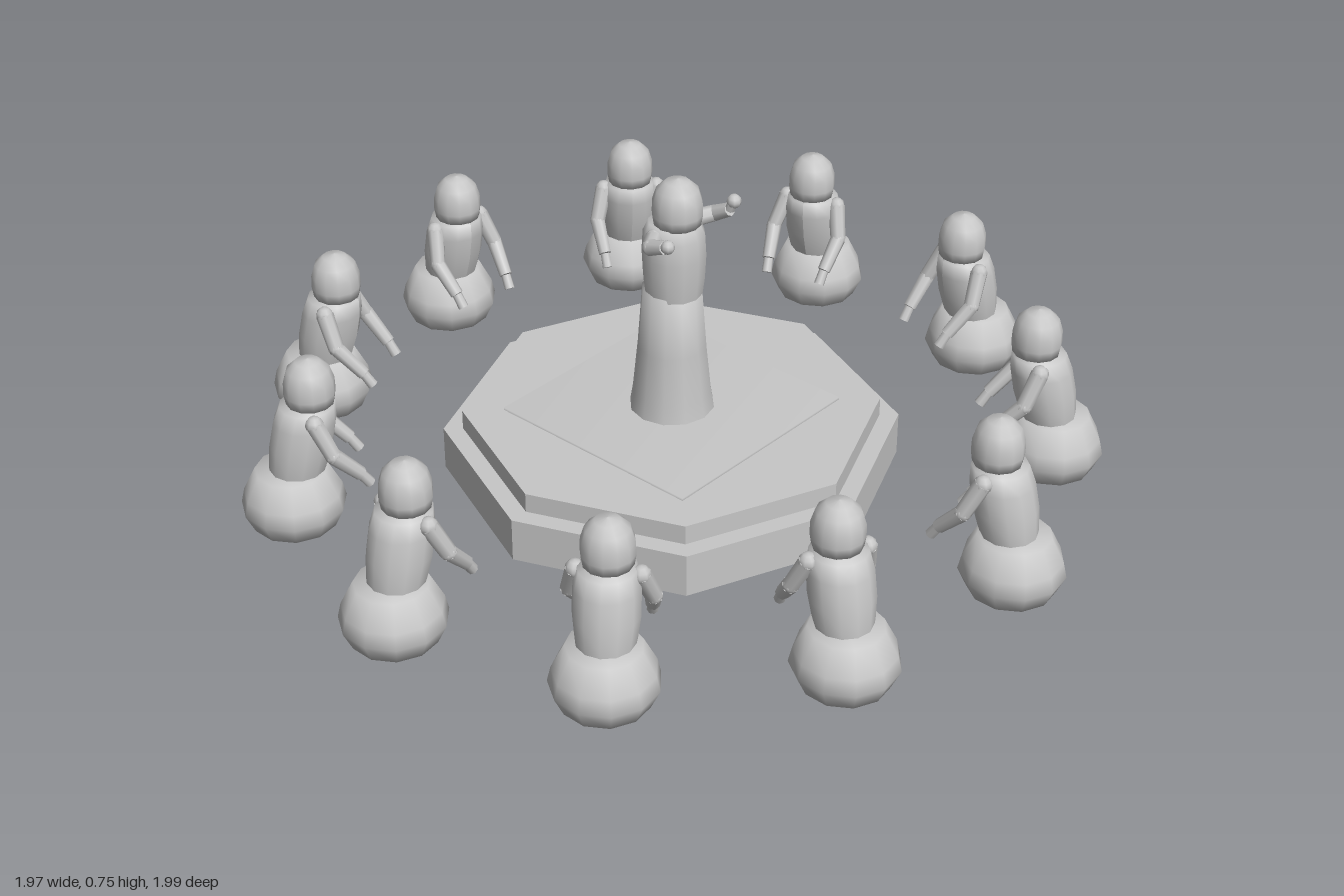
import * as THREE from 'three';
import { toCreasedNormals, mergeVertices } from 'three/addons/utils/BufferGeometryUtils.js';

const stone = new THREE.MeshStandardMaterial({ color: 0xc6c6c6 });
stone.name = 'grey stone';

const CENTRE_X = 0.01;
const SEATED_COUNT = 11;
const RING_RADIUS = 0.885;

function add(parent, name, geometry, x = 0, y = 0, z = 0) {
  const mesh = new THREE.Mesh(geometry, stone);
  mesh.name = name;
  mesh.position.set(x, y, z);
  parent.add(mesh);
  return mesh;
}

// Turned form from [radius, height] pairs, bottom to top
function turned(profile, sides) {
  return new THREE.LatheGeometry(profile.map(([r, y]) => new THREE.Vector2(r, y)), sides);
}

// Capped tapering limb between two points
function limb(parent, name, a, b, ra, rb) {
  const from = new THREE.Vector3(...a), to = new THREE.Vector3(...b);
  const dir = to.clone().sub(from);
  const mesh = add(parent, name, new THREE.CylinderGeometry(rb, ra, dir.length(), 8));
  mesh.position.copy(from).add(to).multiplyScalar(0.5);
  mesh.quaternion.setFromUnitVectors(new THREE.Vector3(0, 1, 0), dir.normalize());
}

// Arm of two sleeve segments, rounded joints and a small hand
function arm(parent, name, shoulder, elbow, wrist, hand) {
  const group = new THREE.Group();
  group.name = name;
  limb(group, 'upperArm', shoulder, elbow, 0.021, 0.019);
  limb(group, 'forearm', elbow, wrist, 0.019, 0.016);
  limb(group, 'hand', wrist, hand, 0.012, 0.013);
  add(group, 'shoulder', new THREE.SphereGeometry(0.021, 8, 6), ...shoulder);
  add(group, 'elbow', new THREE.SphereGeometry(0.019, 8, 6), ...elbow);
  parent.add(group);
}

// Domed head, 0.11 tall, with its neck at the origin
function headGeometry() {
  return turned([[0, 0], [0.054, 0], [0.058, 0.025], [0.057, 0.055], [0.048, 0.084],
    [0.028, 0.103], [0, 0.11]], 12);
}

// Seated figure facing +z, leaning slightly forward
function seatedFigure() {
  const figure = new THREE.Group();
  figure.name = 'seatedFigure';

  add(figure, 'skirt', turned([[0, 0], [0.098, 0], [0.119, 0.045], [0.111, 0.08],
    [0.082, 0.138], [0, 0.142]], 11));

  const torso = turned([[0.06, 0.12], [0.066, 0.15], [0.072, 0.2], [0.071, 0.26],
    [0.063, 0.3], [0, 0.318]], 12);
  const p = torso.attributes.position;
  for (let i = 0; i < p.count; i++) p.setZ(i, p.getZ(i) + 0.015 + (p.getY(i) - 0.14) * 0.2);
  torso.computeVertexNormals();
  add(figure, 'torso', torso);

  add(figure, 'head', headGeometry(), 0, 0.306, 0.055);

  for (const s of [1, -1]) {
    arm(figure, s > 0 ? 'leftArm' : 'rightArm',
      [s * 0.068, 0.285, 0.052], [s * 0.088, 0.21, 0.085],
      [s * 0.076, 0.145, 0.145], [s * 0.072, 0.115, 0.165]);
  }
  return figure;
}

// Standing figure in a long robe with raised arms
function standingFigure() {
  const figure = new THREE.Group();
  figure.name = 'standingFigure';

  add(figure, 'robe', turned([[0.1, 0.15], [0.092, 0.2], [0.08, 0.32], [0.069, 0.47],
    [0, 0.475]], 12));
  add(figure, 'torso', turned([[0.066, 0.46], [0.071, 0.5], [0.074, 0.56], [0.071, 0.61],
    [0.058, 0.64], [0, 0.648]], 12), 0, 0, 0.005);
  add(figure, 'head', headGeometry(), 0, 0.638, 0.015);

  arm(figure, 'leftArm', [0.06, 0.617, 0], [0.112, 0.62, 0.025],
    [0.114, 0.645, 0.07], [0.116, 0.668, 0.08]);
  arm(figure, 'rightArm', [-0.06, 0.617, 0], [-0.1, 0.62, 0.025],
    [-0.103, 0.637, 0.07], [-0.107, 0.647, 0.085]);
  add(figure, 'leftFist', new THREE.SphereGeometry(0.017, 8, 6), 0.117, 0.668, 0.08);
  add(figure, 'rightFist', new THREE.SphereGeometry(0.016, 8, 6), -0.108, 0.645, 0.083);
  return figure;
}

// Eight-sided stepped platform with a square slab softened at its edges
function platform() {
  const group = new THREE.Group();
  group.name = 'platform';
  const step = (r, h) => toCreasedNormals(new THREE.CylinderGeometry(r, r, h, 8), 0.3);
  add(group, 'lowerStep', step(0.53, 0.105), 0, 0.0525, 0);
  add(group, 'upperStep', step(0.485, 0.05), 0, 0.127, 0);

  let slab = new THREE.BoxGeometry(0.55, 0.02, 0.55);
  slab.deleteAttribute('normal');
  slab.deleteAttribute('uv');
  slab = mergeVertices(slab);
  slab.computeVertexNormals();
  add(group, 'slab', slab, 0, 0.148, 0);
  return group;
}

export function createModel() {
  const model = new THREE.Group();
  model.name = 'circleOfFigures';

  const centre = new THREE.Group();
  centre.name = 'centrepiece';
  centre.position.x = CENTRE_X;
  centre.add(platform(), standingFigure());
  model.add(centre);

  // Ring of seated figures turned toward the centre
  for (let i = 0; i < SEATED_COUNT; i++) {
    const a = Math.PI + (i / SEATED_COUNT) * Math.PI * 2;
    const figure = seatedFigure();
    figure.position.set(CENTRE_X + RING_RADIUS * Math.cos(a), 0, RING_RADIUS * Math.sin(a));
    figure.rotation.y = Math.atan2(-Math.cos(a), -Math.sin(a));
    model.add(figure);
  }
  return model;
}
